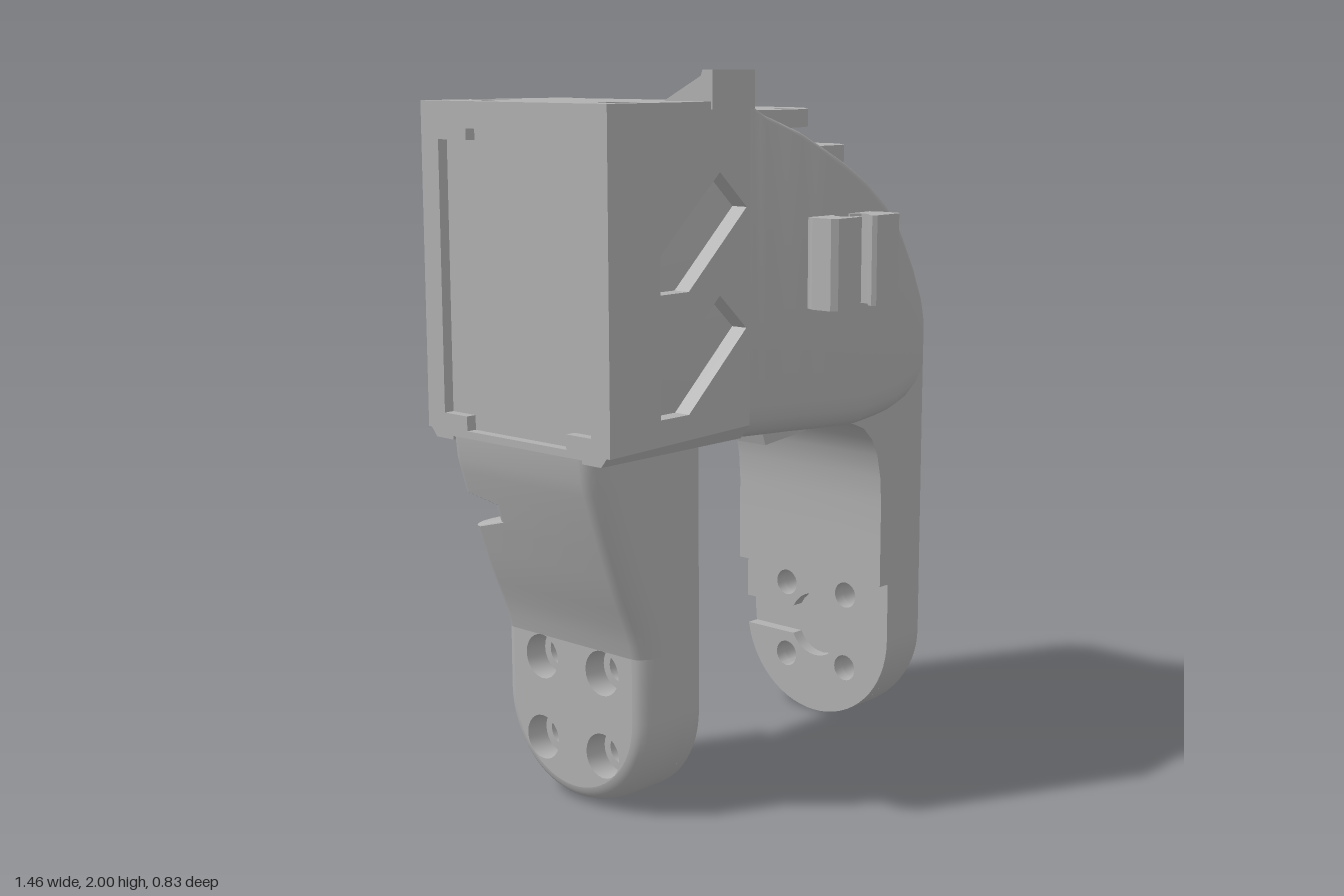
import * as THREE from 'three';
import { toCreasedNormals } from 'three/addons/utils/BufferGeometryUtils.js';

const C = -0.053; // z of the symmetry plane
const gray = new THREE.MeshStandardMaterial({ color: 0xb0b0b0, side: THREE.DoubleSide });
gray.name = 'printed gray';

const V2 = (p) => new THREE.Vector2(p[0], p[1]);
const shapeOf = (pts, holes = []) => {
  const s = new THREE.Shape(pts.map(V2));
  s.holes = holes.map((h) => new THREE.Path(h.map(V2)));
  return s;
};
const arc = (x, y, r, a0, a1, n = 24) =>
  Array.from({ length: n + 1 }, (_, i) => {
    const a = a0 + ((a1 - a0) * i) / n;
    return [x + r * Math.cos(a), y + r * Math.sin(a)];
  });
const circle = (x, y, r, n = 24) => arc(x, y, r, 0, Math.PI * 2, n).slice(0, n);
const extrude = (shape, depth) => new THREE.ExtrudeGeometry(shape, { depth, bevelEnabled: false });
// Extrusions along x (shape x points to -z) and downwards along y (shape y points to +z)
const alongX = (shape, x, depth) => extrude(shape, depth).rotateY(Math.PI / 2).translate(x, 0, C);
const downY = (shape, y, depth) => extrude(shape, depth).rotateX(Math.PI / 2).translate(0, y, C);

function table(pts, x) {
  if (x <= pts[0][0]) return pts[0][1];
  for (let i = 1; i < pts.length; i++) {
    const [a, b] = [pts[i - 1], pts[i]];
    if (x <= b[0]) return a[1] + ((b[1] - a[1]) * (x - a[0])) / (b[0] - a[0]);
  }
  return pts[pts.length - 1][1];
}

// Skin closed rings of equal length; optional convex end caps
function loft(rings, caps = true) {
  const n = rings[0].length, pos = [], idx = [];
  rings.forEach((r) => r.forEach((p) => pos.push(...p)));
  for (let i = 0; i < rings.length - 1; i++)
    for (let j = 0; j < n; j++) {
      const a = i * n + j, b = i * n + ((j + 1) % n);
      idx.push(a, b, a + n, b, b + n, a + n);
    }
  if (caps) {
    const e = (rings.length - 1) * n;
    for (let j = 1; j < n - 1; j++) idx.push(0, j + 1, j, e, e + j, e + j + 1);
  }
  const g = new THREE.BufferGeometry();
  g.setAttribute('position', new THREE.Float32BufferAttribute(pos, 3));
  g.setIndex(idx);
  return toCreasedNormals(g, 0.6);
}

export function createModel() {
  const model = new THREE.Group();
  const add = (name, geo, parent = model) => {
    const m = new THREE.Mesh(geo, gray);
    m.name = name;
    parent.add(m);
    return m;
  };

  // Housing: sections along x, with an open pocket in the top
  const width = [[-0.2001, 0.2975], [-0.2, 0.3475], [-0.1, 0.355], [0.1, 0.364], [0.25, 0.36], [0.4, 0.345], [0.5, 0.326], [0.6, 0.297],
    [0.635, 0.287], [0.68, 0.275], [0.7, 0.265], [0.715, 0.25], [0.725, 0.235]];
  const top = [[-0.2501, 1.86], [-0.25, 1.92], [-0.2, 1.915], [-0.15, 1.885], [0, 1.835], [0.1, 1.79], [0.2, 1.745], [0.3, 1.693],
    [0.4, 1.635], [0.5, 1.56], [0.6, 1.462], [0.67, 1.37], [0.71, 1.3], [0.725, 1.26]];
  const bottom = [[-0.7, 1.03], [-0.2, 1.02], [0, 1.01], [0.3, 0.99], [0.5, 1.0], [0.725, 1.03]];
  const pocket = [[-0.24, 0], [-0.235, 0.06], [-0.22, 0.13], [-0.19, 0.21], [-0.14, 0.29], [0.27, 0.29], [0.33, 0.225], [0.41, 0.225], [0.63, 0]];
  const round = [[-0.2001, 0.001], [-0.2, 0.012], [0.3, 0.03], [0.725, 0.08]];
  const xs = [-0.7, -0.2501, -0.25, -0.24, -0.239, -0.235, -0.22, -0.2001, -0.2, -0.19, -0.165, -0.14, -0.07, 0, 0.05, 0.1, 0.15, 0.2,
    0.27, 0.3, 0.33, 0.37, 0.41, 0.45, 0.5, 0.55, 0.6, 0.627, 0.63, 0.65, 0.67, 0.69, 0.7, 0.71, 0.715, 0.725];
  add('housing', loft(xs.map((x) => {
    const [w, t, b, p, r] = [width, top, bottom, pocket, round].map((f) => table(f, x));
    const floor = x > -0.24 && x < 0.63 ? 1.22 : t;
    const half = [[w - 0.05, b], [w - 0.02, b + 0.02], [w - 0.005, b + 0.05], [w, b + 0.09],
      ...arc(w - r, t - r, r, 0, Math.PI / 2, 5), [p, t], [p, floor]];
    return [...half, ...half.map(([u, y]) => [-u, y]).reverse()].map(([u, y]) => [x, y, C + u]);
  })));

  // Square end of the housing: slotted sides, top with screw holes, rear frame
  const slot = (dy) => [[-0.545, 1.44], [-0.44, 1.44], [-0.215, 1.645], [-0.32, 1.74], [-0.545, 1.54]].map(([x, y]) => [x, y + dy]);
  const side = shapeOf([[-0.73, 1.045], [-0.2, 1.06], [-0.2, 1.86], [-0.73, 1.86]], [slot(0), slot(-0.32)]);
  for (const s of [1, -1]) {
    add('slottedSide', extrude(side, 0.05).translate(0, 0, C + s * 0.3225 - 0.025));
    // Bevelled lower edge under each slotted side
    const bevel = [[0.2475, 1.02], [0.315, 1.02], [0.3475, 1.06], [0.2475, 1.06]].map(([u, y]) => [s * u, y]);
    add('lowerBevel', alongX(shapeOf(bevel), -0.73, 0.53));
  }
  const drop = (u) => [...arc(-0.58, u, 0.055, 0.75, Math.PI * 2 - 0.75), [-0.515, u]];
  add('topPlate', downY(shapeOf([[-0.73, -0.3475], [-0.2, -0.3475], [-0.2, -0.2975], [-0.25, -0.2975], [-0.25, 0.2975], [-0.2, 0.2975],
    [-0.2, 0.3475], [-0.73, 0.3475]], [drop(-0.24), drop(0.24)]), 1.92, 0.06));
  for (const u of [-0.24, 0.24])
    add('topScrew', new THREE.CylinderGeometry(0.03, 0.03, 0.03, 20).translate(-0.58, 1.875, C + u));
  add('rearFrame', alongX(shapeOf([[-0.2975, 1.03], [0.2975, 1.03], [0.2975, 1.86], [-0.2975, 1.86]],
    [[[-0.28, 1.09], [-0.19, 1.09], [-0.19, 1.05], [0.19, 1.05], [0.19, 1.09], [0.28, 1.09], [0.28, 1.82],
      [0.17, 1.82], [0.17, 1.85], [-0.17, 1.85], [-0.17, 1.82], [-0.28, 1.82]]]), -0.73, 0.03));

  // Raised tab on the top edge, and the wedge under the housing
  add('topTab', alongX(shapeOf([[0.3, 1.9], [0.3, 2], [0.265, 2], [0.26, 1.985], [0.13, 1.92], [0.13, 1.9]]
    .map(([z, y]) => [C - z, y])), -0.355, 0.165));
  add('underWedge', extrude(shapeOf([[-0.33, 1.04], [-0.33, 1.015], [0, 1.0], [0.015, 0.957], [0.2, 0.975], [0.4, 0.985], [0.45, 1.04]]), 0.44)
    .translate(0, 0, C - 0.22));

  // Pair of hooked cable clips on the front
  for (const s of [-1, 1]) {
    const hook = [[0.14, 0.27], [0.14, 0.315], [0.15, 0.33], [0.15, 0.395], [0.135, 0.41], [0.035, 0.41], [0.025, 0.4], [0.025, 0.39],
      [0.06, 0.36], [0.06, 0.335], [0.035, 0.315], [0.035, 0.27]];
    add('cableClip', downY(shapeOf(hook.map(([x, z]) => [0.165 + s * x, z - C])), 1.605, 0.25));
  }

  // Servo in the pocket, with its round horn
  const servo = new THREE.Group();
  servo.name = 'servo';
  model.add(servo);
  add('servoBody', downY(shapeOf([[-0.04, -0.288], [0.27, -0.288], [0.33, -0.223], [0.33, 0.223], [0.27, 0.288], [-0.04, 0.288]]), 1.79, 0.58), servo);
  add('servoFlange', downY(shapeOf([[-0.04, -0.285], [-0.14, -0.285], [-0.185, -0.21], [-0.22, -0.12], [-0.235, 0],
    [-0.22, 0.12], [-0.185, 0.21], [-0.14, 0.285], [-0.04, 0.285]]), 1.765, 0.55), servo);
  for (const s of [-1, 1]) {
    add('servoEar', new THREE.BoxGeometry(0.075, 0.05, 0.07).translate(-0.0775, 1.77, C + s * 0.245), servo);
    add('earScrew', new THREE.CylinderGeometry(0.02, 0.02, 0.03, 16).translate(-0.1, 1.79, C + s * 0.24), servo);
  }
  add('hornBoss', new THREE.CylinderGeometry(0.11, 0.11, 0.06, 32).translate(0.095, 1.815, C), servo);
  const four = (r, x0 = 0, y0 = 0) => [-1, 1].flatMap((a) => [-1, 1].map((b) => circle(x0 + a * 0.117, y0 + b * 0.117, r)));
  add('horn', toCreasedNormals(downY(shapeOf(circle(0.095, 0, 0.232, 64), four(0.03, 0.095)), 1.89, 0.05), 0.5), servo);

  // Legs: rounded foot with countersunk holes and keyed inner face, and a lofted upper part
  const Y = 0.28, R = 0.28, JOIN = 0.46;
  const contour = (inset) => [[R - inset, JOIN], ...arc(0, Y, R - inset, 0, -Math.PI, 32), [inset - R, JOIN]];
  const keyed = shapeOf([[R, JOIN], [R, Y + 0.045], ...arc(0, Y, 0.1, 0.467, Math.PI * 2 - 0.467), [0.276, Y - 0.045],
    ...arc(0, Y, R, -0.17, -Math.PI, 30), [-R, JOIN]], four(0.04, 0, Y));
  const face = (inset, r, x) => new THREE.ShapeGeometry(shapeOf(contour(inset), four(r, 0, Y))).rotateY(Math.PI / 2).translate(x, 0, C);
  const quarter = Array.from({ length: 7 }, (_, i) => [Math.sin((i * Math.PI) / 12), Math.cos((i * Math.PI) / 12)]);

  function leg(name, s, inner, outer, innerAt, outerAt, backAt, ys) {
    const g = new THREE.Group();
    g.name = name;
    model.add(g);
    const base = inner + s * 0.04;
    add('keyedFace', toCreasedNormals(alongX(keyed, Math.min(inner, base), 0.04), 0.5), g);
    add('footInnerFace', face(0, 0.04, base), g);
    add('footOuterFace', face(0.05, 0.063, outer), g);
    const layers = [[0, base], ...quarter.map(([a, b]) => [0.05 * (1 - b), outer - s * 0.09 * (1 - a)])];
    add('footRim', loft(layers.map(([inset, x]) => contour(inset).map(([u, y]) => [x, y, C - u])), false), g);
    // Stepped screw holes
    const bore = [[0.063, outer], [0.063, outer - s * 0.07], [0.04, outer - s * 0.07], [0.04, base]].map(V2);
    for (const a of [-0.117, 0.117]) for (const b of [-0.117, 0.117])
      add('screwHole', toCreasedNormals(new THREE.LatheGeometry(bore, 24).rotateZ(-Math.PI / 2).translate(0, Y + a, C + b), 0.5), g);
    // Upper part with rounded outer corners
    add('upperLeg', loft(ys.map((y) => {
      const [xi, xo, back] = [innerAt, outerAt, backAt].map((f) => table(f, y));
      const corner = quarter.map(([a, b]) => [xo - s * 0.09 * (1 - a), 0.05 * (1 - b)]);
      return [[xi, y, C + R], ...corner.map(([x, d]) => [x, y, C + R - d]),
        ...corner.slice().reverse().map(([x, d]) => [x, y, C - back + d]), [xi, y, C - back]];
    })), g);
  }

  leg('rightSideLeg', -1, -0.33, -0.54, [[0, -0.33]],
    [[JOIN, -0.541], [0.5, -0.552], [0.55, -0.57], [0.6, -0.592], [0.65, -0.613], [0.7, -0.632], [0.8, -0.668], [0.9, -0.702], [0.97, -0.722], [1.04, -0.73]],
    [[0.77, R], [0.8, 0.17], [0.85, 0.17], [0.87, R]],
    [JOIN, 0.5, 0.55, 0.6, 0.65, 0.7, 0.77, 0.8, 0.85, 0.87, 0.93, 0.97, 1.04]);
  leg('leftSideLeg', 1, 0.52, 0.725,
    [[0.72, 0.48], [0.8, 0.474], [0.87, 0.458], [0.92, 0.432], [0.96, 0.39], [0.98, 0.34], [1.0, 0.25], [1.01, 0.48]],
    [[0, 0.725]], [[0, R]],
    [JOIN, 0.6, 0.72, 0.8, 0.87, 0.92, 0.96, 0.98, 1.0, 1.01, 1.2]);
  return model;
}
